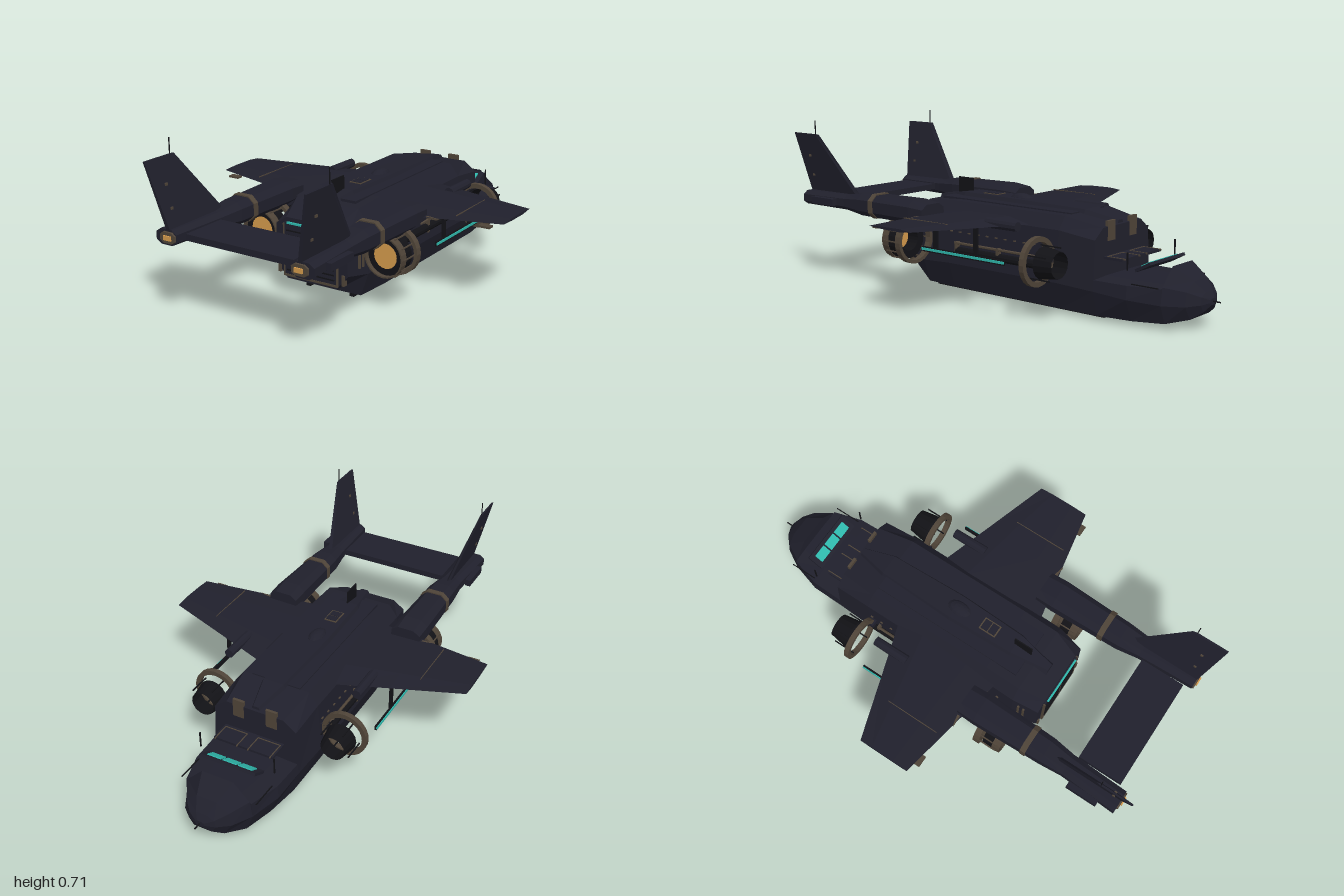
import * as THREE from 'three';

const mat = (name, color) => Object.assign(new THREE.MeshStandardMaterial({ color, flatShading: true }), { name });
const HULL = mat('midnight hull', 0x20202c);
const DARK = mat('black metal', 0x121216);
const BRONZE = mat('dull bronze', 0x4f4438);
const TEAL = mat('teal light', 0x2fb8ac);
const ORANGE = mat('amber glow', 0xd49a4c);
ORANGE.side = DARK.side = BRONZE.side = THREE.DoubleSide;

// Skins a row of closed loops of [x, y, z] points and caps both ends.
function loft(loops) {
  const tris = [], n = loops[0].length;
  const centre = l => [0, 1, 2].map(k => l.reduce((s, p) => s + p[k], 0) / n);
  for (let i = 0; i + 1 < loops.length; i++) for (let j = 0; j < n; j++) {
    const k = (j + 1) % n, [a, b] = [loops[i], loops[i + 1]];
    tris.push([a[j], a[k], b[k]], [a[j], b[k], b[j]]);
  }
  const first = loops[0], last = loops[loops.length - 1];
  for (let j = 0; j < n; j++) {
    const k = (j + 1) % n;
    tris.push([centre(first), first[k], first[j]], [centre(last), last[j], last[k]]);
  }
  // Turn the faces outward by the sign of the enclosed volume.
  let vol = 0;
  const v = p => new THREE.Vector3(...p);
  for (const [a, b, c] of tris) vol += v(a).dot(v(b).cross(v(c)));
  if (vol < 0) tris.forEach(t => t.reverse());
  const g = new THREE.BufferGeometry();
  g.setAttribute('position', new THREE.Float32BufferAttribute(tris.flat(2), 3));
  g.computeVertexNormals();
  return g;
}

// Mirrored fuselage section from half points [x, y], listed bottom to top.
const section = (z, half) => [...half.map(([x, y]) => [x, y, z]), ...half.slice().reverse().map(([x, y]) => [-x, y, z])];
// Chamfered eight-sided section for the booms.
const octagon = (cx, cy, z, w, h) => [[1, .5], [.55, 1], [-.55, 1], [-1, .5], [-1, -.5], [-.55, -1], [.55, -1], [1, -.5]]
  .map(([a, b]) => [cx + a * w, cy + b * h, z]);

export function createModel() {
  const root = new THREE.Group();
  root.name = 'aircraft';
  const add = (name, geo, m, x = 0, y = 0, z = 0, parent = root) => {
    const mesh = new THREE.Mesh(geo, m);
    mesh.name = name;
    mesh.position.set(x, y, z);
    parent.add(mesh);
    return mesh;
  };
  const box = (name, m, w, h, d, x, y, z, parent) => add(name, new THREE.BoxGeometry(w, h, d), m, x, y, z, parent);
  // Cylinder along z; the first radius is at the +z end.
  const tube = (name, m, r1, r2, len, x, y, z, open = false, sides = 20, parent = root) =>
    add(name, new THREE.CylinderGeometry(r1, r2, len, sides, 1, open).rotateX(Math.PI / 2), m, x, y, z, parent);

  // Main fuselage
  add('fuselage', loft([
    section(.475, [[.12, .075], [.175, .14], [.17, .3], [.12, .335]]),
    section(.36, [[.16, .02], [.195, .12], [.19, .33], [.15, .385]]),
    section(.2, [[.17, .02], [.205, .13], [.19, .34], [.15, .393]]),
    section(-.38, [[.17, .02], [.205, .13], [.19, .34], [.15, .393]]),
    section(-.55, [[.17, .02], [.195, .12], [.185, .32], [.13, .362]]),
  ]), HULL);
  // Open cockpit tub and nose
  add('cockpitTub', loft([
    section(-.55, [[.17, .02], [.195, .12], [.19, .165], [.1, .17]]),
    section(-.7, [[.15, .02], [.19, .11], [.185, .165], [.1, .17]]),
    section(-.83, [[.12, .025], [.15, .1], [.148, .165], [.08, .17]]),
  ]), HULL);
  add('nose', loft([
    section(-.83, [[.12, .025], [.15, .1], [.14, .17], [.07, .24]]),
    section(-.91, [[.07, .045], [.105, .1], [.095, .155], [.045, .19]]),
    section(-.95, [[.04, .075], [.06, .105], [.055, .135], [.025, .15]]),
    section(-.968, [[.012, .1], [.02, .11], [.018, .12], [.01, .125]]),
  ]), HULL);
  tube('noseProbe', DARK, .003, .003, .04, 0, .113, -.98, false, 6);

  // Cockpit fittings
  const dash = new THREE.Group();
  dash.name = 'instrumentPanel';
  dash.position.set(0, .23, -.73);
  dash.rotation.x = .5;
  root.add(dash);
  box('panelBoard', HULL, .25, .012, .075, 0, 0, 0, dash);
  for (const x of [-.07, 0, .07]) box('screen', TEAL, .062, .005, .042, x, .008, 0, dash);
  box('rearConsole', HULL, .27, .01, .09, 0, .245, -.6);
  for (const s of [-1, 1]) {
    for (const x of [.025, .125]) box('seatTrim', BRONZE, .004, .006, .085, s * x, .249, -.61);
    box('seatTrim', BRONZE, .1, .006, .004, s * .075, .249, -.57);
    box('windowPost', DARK, .005, .07, .005, s * .168, .255, -.69);
    box('windowRail', DARK, .004, .004, .12, s * .168, .17, -.77);
    box('roofPost', BRONZE, .05, .08, .012, s * .075, .345, -.545);
  }

  // Roof spine, dome, hatch and blade antenna
  const spine = [[-.54, .012, .362], [-.4, .045, .393], [-.05, .055, .4], [.25, .045, .4], [.42, .015, .372]];
  add('roofSpine', loft(spine.map(([z, w, y]) => section(z, [[w + .015, y - .015], [w, y + .014]]))), HULL);
  const dome = add('roofDome', new THREE.SphereGeometry(1, 14, 8), HULL, 0, .405, -.035);
  dome.scale.set(.034, .026, .058);
  box('bladeAntenna', DARK, .005, .07, .085, 0, .435, .285);
  box('hatchFrame', BRONZE, .056, .006, .08, 0, .414, .12);
  for (const z of [.102, .138]) box('hatch', HULL, .046, .008, .032, 0, .415, z);
  box('roofPlate', HULL, .22, .03, .7, 0, .383, -.03);

  // Ribbed rear ramp with its frame and light bar
  box('ramp', HULL, .25, .22, .012, 0, .205, .476);
  for (let i = 0; i < 9; i++) box('rampRib', DARK, .23, .005, .008, 0, .115 + i * .021, .482);
  box('rampSeam', BRONZE, .004, .21, .006, 0, .205, .484);
  box('rampLight', TEAL, .22, .008, .008, 0, .316, .485);
  box('rampSill', BRONZE, .26, .009, .01, 0, .092, .48);
  for (const s of [-1, 1]) {
    box('rampEdge', BRONZE, .006, .22, .01, s * .128, .2, .48);
    box('rampHinge', BRONZE, .012, .045, .02, s * .155, .12, .472);
  }

  // Belly rails and inspection plates
  box('keel', BRONZE, .05, .016, .3, 0, .012, -.1);
  for (const s of [-1, 1]) {
    box('skid', DARK, .02, .022, .9, s * .108, .011, -.1);
    for (const z of [-.35, .22]) box('bellyPlate', BRONZE, .04, .006, .05, s * .06, .019, z);
  }

  // Tail plane joining the booms
  box('tailPlane', HULL, .5, .026, .2, 0, .357, .82);

  for (const s of [-1, 1]) {
    // Wing
    const rib = (x, y, t, lead, trail) => {
      const c = trail - lead;
      return [[lead, 0], [lead + .25 * c, .5], [lead + .7 * c, .4], [trail, 0], [lead + .7 * c, -.4], [lead + .25 * c, -.5]]
        .map(([z, h]) => [s * x, y + h * t, z]);
    };
    add('wing', loft([rib(.16, .343, .04, -.235, .268), rib(.4, .353, .028, -.155, .222), rib(.69, .365, .012, -.06, .17)]), HULL);
    box('wingSeam', BRONZE, .003, .004, .24, s * .49, .367, .06);
    for (const x of [.4, .62]) box('flapActuator', BRONZE, .05, .008, .03, s * x, .35, x > .5 ? .185 : .205);
    tube('wingCannon', HULL, .022, .02, .16, s * .3, .355, -.18, false, 10);

    // Tail boom with band and end lamp
    add('tailBoom', loft([
      octagon(s * .302, .358, .2, .066, .04), octagon(s * .302, .358, .28, .068, .05),
      octagon(s * .3, .356, .6, .058, .048), octagon(s * .303, .356, .7, .048, .034),
      octagon(s * .315, .356, .955, .05, .031),
    ]), HULL);
    add('boomBand', loft([octagon(s * .301, .357, .505, .064, .053), octagon(s * .301, .357, .53, .064, .053)]), BRONZE);
    add('boomEnd', loft([octagon(s * .305, .356, .95, .038, .024), octagon(s * .305, .356, .962, .036, .022)]), BRONZE);
    box('tailLamp', ORANGE, .036, .018, .008, s * .303, .356, .964);
    box('boomFairing', HULL, .025, .03, .14, s * .37, .355, .81);

    // Canted tail fin and its whip antenna
    const fin = (x, y, z0, z1, t) => [[-t, z0 + .02], [0, z0], [t, z0 + .02], [t, z1], [-t, z1]].map(([d, z]) => [s * x + d, y, z]);
    add('tailFin', loft([fin(.303, .38, .635, .955, .009), fin(.365, .65, .84, 1, .004)]), HULL);
    box('finAntenna', DARK, .003, .065, .004, s * .366, .68, .86);
    for (const y of [.46, .55]) box('finMark', BRONZE, .022, .01, .012, s * (.303 + (y - .38) * .23), y, .92);

    // Ducted engine: intake, cage rings, nozzle and glow
    const engine = new THREE.Group();
    engine.name = 'engine';
    engine.position.set(s * .302, .23, 0);
    root.add(engine);
    const ring = (name, z, rOut, rIn, len, m) => add(name, new THREE.LatheGeometry(
      [[rIn, 0], [rOut, 0], [rOut, len], [rIn, len], [rIn, 0]].map(p => new THREE.Vector2(...p)), 24).rotateX(Math.PI / 2), m, 0, 0, z, engine);
    tube('intake', DARK, .066, .053, .08, 0, 0, -.43, true, 16, engine);
    ring('frontRing', -.37, .1, .08, .022, BRONZE);
    ring('rearRing', .3, .1, .085, .028, BRONZE);
    ring('nozzleRing', .385, .086, .08, .035, BRONZE);
    ring('nozzle', .34, .083, .05, .06, DARK);
    add('exhaustGlow', new THREE.CircleGeometry(.052, 24), ORANGE, 0, 0, .402, engine);
    for (let i = 0; i < 12; i++) {
      const a = i * Math.PI / 6, c = Math.cos(a), n = Math.sin(a);
      box('cageStrut', BRONZE, .005, .005, .1, c * .088, n * .088, .355, engine);
      if (i % 3 === 1) box('intakeStrut', DARK, .005, .005, .1, c * .07, n * .07, -.4, engine);
    }
    // Engine mounts and the side light rail
    box('frontMount', HULL, .05, .03, .03, -s * .1, 0, -.355, engine);
    box('rearPylon', HULL, .04, .05, .14, 0, .085, .24, engine);
    box('lightRail', DARK, .008, .02, .44, s * .092, -.003, -.05, engine);
    box('railLight', TEAL, .006, .01, .44, s * .097, -.002, -.05, engine);
    for (const z of [-.12, .1]) box('railHanger', DARK, .01, .12, .02, s * .088, .058, z, engine);

    // Hull side pipes and dashed trim
    tube('sidePipe', DARK, .018, .018, .5, s * .205, .19, -.1, false, 10);
    tube('sidePipe', BRONZE, .006, .006, .48, s * .213, .225, -.08, false, 6);
    for (const z of [-.32, -.08, .15]) box('pipeClamp', BRONZE, .02, .06, .012, s * .208, .2, z);
    for (let i = 0; i < 14; i++) box('sideRivet', BRONZE, .005, .005, .012, s * .2, .27, -.36 + i * .05);
    for (const z of [.39, .415]) box('sideVent', BRONZE, .008, .13, .008, s * .19, .225, z);
  }
  return root;
}
